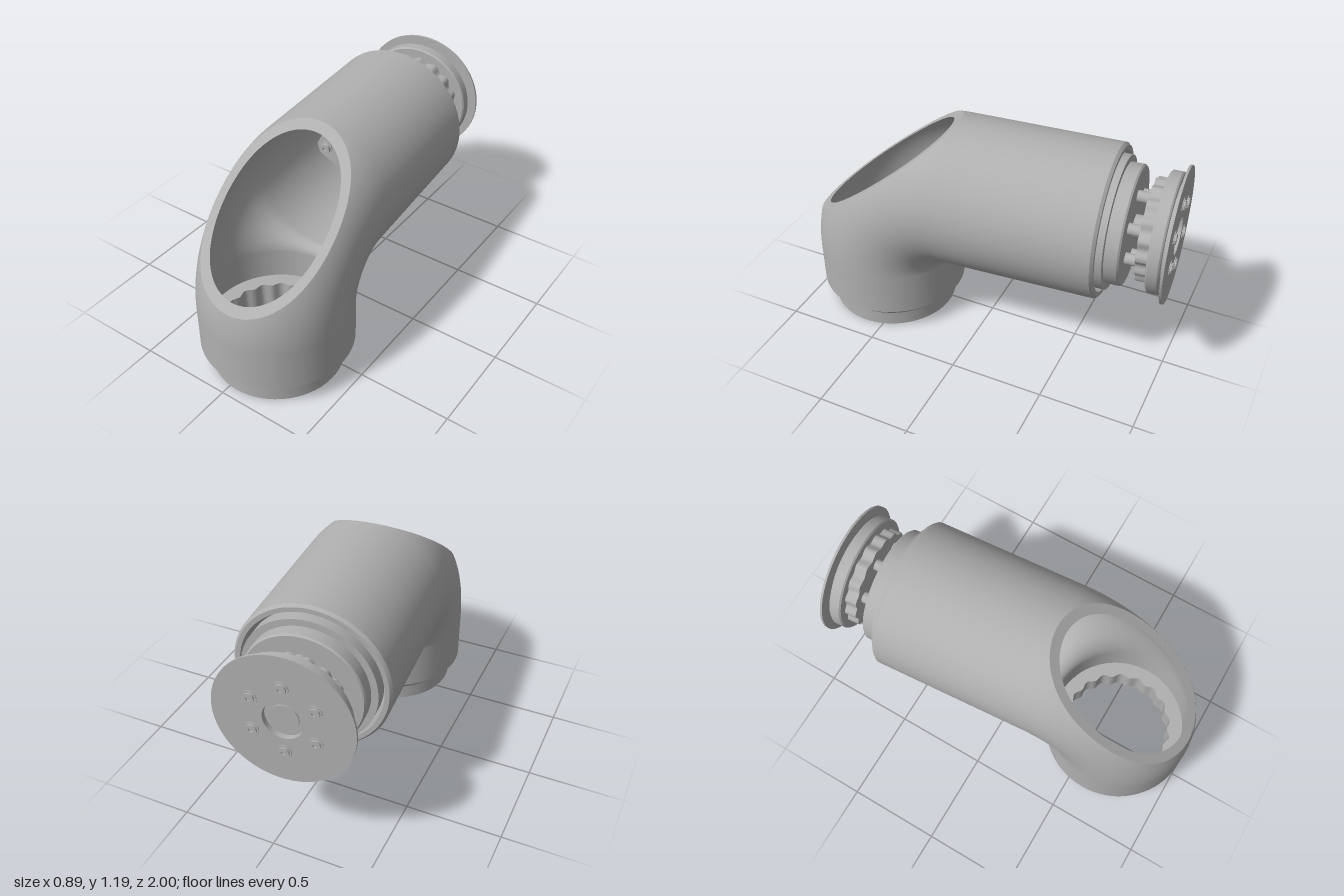
import * as THREE from 'three';
import { toCreasedNormals } from 'three/addons/utils/BufferGeometryUtils.js';

const metal = new THREE.MeshStandardMaterial({ color: 0xb0b0b0 });
metal.name = 'grey metal';

// Elbow: bend centre, bend radius, wall radii, cut plane
const BEND = { y: 0.365, z: -0.42, R: 0.42 };
const R_OUT = 0.4, R_IN = 0.364;
const CUT_DIST = 0.641, CUT_ANGLE = 0.896;
const cutSpan = r => Math.acos(CUT_DIST / (BEND.R + r));

function add(parent, name, geo) {
  const mesh = new THREE.Mesh(geo, metal);
  mesh.name = name;
  parent.add(mesh);
  return mesh;
}

function lathe(points, segments = 72) {
  const pts = points.map(p => new THREE.Vector2(p[0], p[1]));
  return toCreasedNormals(new THREE.LatheGeometry(pts, segments), 0.4);
}

// Solid disc, or a ring when an inner radius is given
function disc(r, y0, y1, inner = 0) {
  const p = [[inner, y0], [r, y0], [r, y1], [inner, y1]];
  if (inner) p.push([inner, y0]);
  return lathe(p);
}

function circle(r, x = 0, y = 0, Type = THREE.Path) {
  return new Type().absarc(x, y, r, 0, Math.PI * 2, false);
}

function scallop(r, depth, lobes, Type) {
  const pts = [];
  for (let i = 0; i < lobes * 10; i++) {
    const a = i / (lobes * 10) * Math.PI * 2;
    const q = r + depth * Math.cos(a * lobes);
    pts.push(new THREE.Vector2(q * Math.cos(a), q * Math.sin(a)));
  }
  return new Type(pts);
}

// Flat shape extruded from height y0 to y1
function plate(shape, y0, y1) {
  const g = new THREE.ExtrudeGeometry(shape, { depth: y1 - y0, bevelEnabled: false, curveSegments: 48 });
  g.rotateX(Math.PI / 2).translate(0, y1, 0);
  return toCreasedNormals(g, 0.5);
}

// One wall of the bent tube, left open where the slanted plane cuts it
function bentWall(r, yStart, dEnd, inward) {
  const span = cutSpan(r), lo = CUT_ANGLE - span, hi = Math.min(CUT_ANGLE + span, Math.PI / 2);
  const sections = [{ t: 0, y: yStart, z: 0 }];
  const bend = t => sections.push({
    t, y: BEND.y + BEND.R * Math.sin(t), z: BEND.z + BEND.R * Math.cos(t)
  });
  for (let i = 0; i < 6; i++) bend(lo * i / 6);
  for (let i = 0; i <= 48; i++) bend(lo + (hi - lo) * (1 - Math.cos(Math.PI * i / 48)) / 2);
  for (let i = 1; i <= 3; i++) bend(hi + (Math.PI / 2 - hi) * i / 3);
  sections.push({ t: Math.PI / 2, y: BEND.y + BEND.R, z: -dEnd });

  const N = 72, pos = [], nor = [], idx = [], s = inward ? -1 : 1;
  sections.forEach(({ t, y, z }, i) => {
    const straight = i === 0 || i === sections.length - 1;
    const w = straight ? r : CUT_DIST / Math.cos(t - CUT_ANGLE) - BEND.R;
    const gap = Math.acos(Math.min(1, w / r));
    for (let j = 0; j <= N; j++) {
      const f = gap + (2 * Math.PI - 2 * gap) * j / N;
      const n = [Math.sin(f), Math.cos(f) * Math.sin(t), Math.cos(f) * Math.cos(t)];
      pos.push(r * n[0], y + r * n[1], z + r * n[2]);
      nor.push(s * n[0], s * n[1], s * n[2]);
      if (i && j) {
        const d = i * (N + 1) + j, c = d - 1, b = d - N - 1, a = b - 1;
        if (inward) idx.push(a, c, b, b, c, d);
        else idx.push(a, b, c, b, d, c);
      }
    }
  });
  const g = new THREE.BufferGeometry();
  g.setAttribute('position', new THREE.Float32BufferAttribute(pos, 3));
  g.setAttribute('normal', new THREE.Float32BufferAttribute(nor, 3));
  g.setIndex(idx);
  return g;
}

// Flat rim joining both walls around the slanted opening
function openingRim() {
  const N = 96, pos = [], idx = [];
  for (let i = 0; i <= N; i++) {
    const a = i / N * Math.PI * 2;
    for (const r of [R_OUT, R_IN]) {
      const t = CUT_ANGLE - cutSpan(r) * Math.cos(a);
      const s = CUT_DIST / Math.cos(t - CUT_ANGLE);
      const half = Math.sqrt(Math.max(0, r * r - (s - BEND.R) ** 2));
      pos.push(half * Math.sign(Math.sin(a)), BEND.y + s * Math.sin(t), BEND.z + s * Math.cos(t));
    }
    if (i) {
      const k = i * 2;
      idx.push(k - 2, k, k - 1, k, k + 1, k - 1);
    }
  }
  const g = new THREE.BufferGeometry();
  g.setAttribute('position', new THREE.Float32BufferAttribute(pos, 3));
  g.setIndex(idx);
  g.computeVertexNormals();
  return g;
}

// Socket-head bolt; dir -1 faces the elbow, +1 faces the flange side
function bolt(parent, name, x, z, y, r, h, dir) {
  const g = new THREE.Group();
  g.name = name;
  const head = circle(r, 0, 0, THREE.Shape);
  const hex = [...Array(6)].map((_, i) =>
    new THREE.Vector2(Math.cos(i * Math.PI / 3), Math.sin(i * Math.PI / 3)).multiplyScalar(r * 0.45));
  head.holes.push(new THREE.Path(hex));
  add(g, 'boltHead', plate(head, 0, h));
  add(g, 'socketFloor', disc(r * 0.6, 0, h * 0.3));
  g.position.set(x, y, z);
  if (dir < 0) g.rotation.x = Math.PI;
  parent.add(g);
}

// Calls fn with the points of a bolt circle
function around(n, r, start, fn) {
  for (let i = 0; i < n; i++) {
    const a = start + i * Math.PI * 2 / n;
    fn(r * Math.cos(a), r * Math.sin(a));
  }
}

export function createModel() {
  const model = new THREE.Group();
  model.name = 'elbowJoint';
  const arm = new THREE.Group();
  arm.name = 'arm';
  arm.position.set(0.045, 0, 0.6);
  arm.rotation.y = 0.0765;
  model.add(arm);

  // Elbow housing
  add(arm, 'outerShell', bentWall(R_OUT, 0.135, 1.235, false));
  add(arm, 'innerShell', bentWall(R_IN, 0.2, 1.25, true));
  add(arm, 'openingRim', openingRim()).material = metal;

  // Base collar with scalloped socket
  add(arm, 'baseCollar', lathe([[0.31, 0.06], [0.31, 0], [0.345, 0], [0.345, 0.08], [0.4, 0.135]]));
  add(arm, 'baseLedge', lathe([[R_IN, 0.2], [0.33, 0.2]]));
  const socket = circle(0.34, 0, 0, THREE.Shape);
  socket.holes.push(scallop(0.287, 0.009, 18, THREE.Path));
  add(arm, 'scallopedSocket', plate(socket, 0.06, 0.2));

  // Wrist: local y runs outward along the upper tube, local z points up
  const wrist = new THREE.Group();
  wrist.name = 'wrist';
  wrist.position.y = 0.785;
  wrist.rotation.x = -Math.PI / 2;
  arm.add(wrist);
  add(wrist, 'tubeEnd', lathe([[R_OUT, 1.235], [0.388, 1.25], [R_IN, 1.25]]));

  // Square motor with clipped corners
  const tilt = -0.47, side = 0.222, cor = 0.182;
  const corners = [];
  for (let i = 0; i < 4; i++) {
    const a = tilt + i * Math.PI / 2;
    for (const v of [-cor, cor]) {
      corners.push(new THREE.Vector2(side, v).rotateAround(new THREE.Vector2(), a));
    }
  }
  add(wrist, 'motor', plate(new THREE.Shape(corners), 0.85, 1.2));
  around(4, 0.232, tilt + Math.PI / 4, (x, z) => {
    add(wrist, 'boltWasher', disc(0.036, 0.845, 0.852)).position.set(x, 0, z);
    bolt(wrist, 'motorBolt', x, z, 0.85, 0.029, 0.025, -1);
  });
  add(wrist, 'motorBoss', disc(0.048, 0.84, 0.86, 0.036));
  add(wrist, 'motorShaftRing', disc(0.031, 0.835, 0.86, 0.023));

  // Adapter plate and bearing disc
  const adapter = circle(0.345, 0, 0, THREE.Shape);
  around(4, 0.27, tilt, (x, z) => adapter.holes.push(circle(0.038, x, z)));
  add(wrist, 'adapterPlate', plate(adapter, 1.2, 1.28));
  around(4, 0.27, tilt, (x, z) => bolt(wrist, 'adapterBolt', x, z, 1.28, 0.03, 0.05, -1));
  add(wrist, 'bearingDisc', lathe([[0, 1.27], [0.3, 1.27], [0.31, 1.28], [0.31, 1.345], [0.303, 1.354], [0, 1.354]]));

  // Drive pins and scalloped disc
  around(6, 0.18, Math.PI / 2, (x, z) => {
    add(wrist, 'drivePin', new THREE.CylinderGeometry(0.03, 0.03, 0.12, 24)).position.set(x, 1.4, z);
  });
  add(wrist, 'camShaft', disc(0.06, 1.35, 1.44));
  add(wrist, 'scallopedDisc', plate(scallop(0.257, 0.009, 17, THREE.Shape), 1.42, 1.49));

  // Output disc and flange
  add(wrist, 'outputDisc', lathe([[0, 1.482], [0.303, 1.482], [0.31, 1.49], [0.31, 1.54], [0.303, 1.548], [0, 1.548]]));
  add(wrist, 'outputNeck', disc(0.27, 1.54, 1.566, 0.1));
  const flange = circle(0.35, 0, 0, THREE.Shape);
  flange.holes.push(circle(0.1));
  add(wrist, 'flange', plate(flange, 1.563, 1.575));
  add(wrist, 'hubCap', disc(0.07, 1.54, 1.554));
  around(6, 0.18, Math.PI / 2, (x, z) => {
    add(wrist, 'flangeWasher', disc(0.038, 1.572, 1.579)).position.set(x, 0, z);
    bolt(wrist, 'flangeBolt', x, z, 1.575, 0.028, 0.012, 1);
  });
  return model;
}
